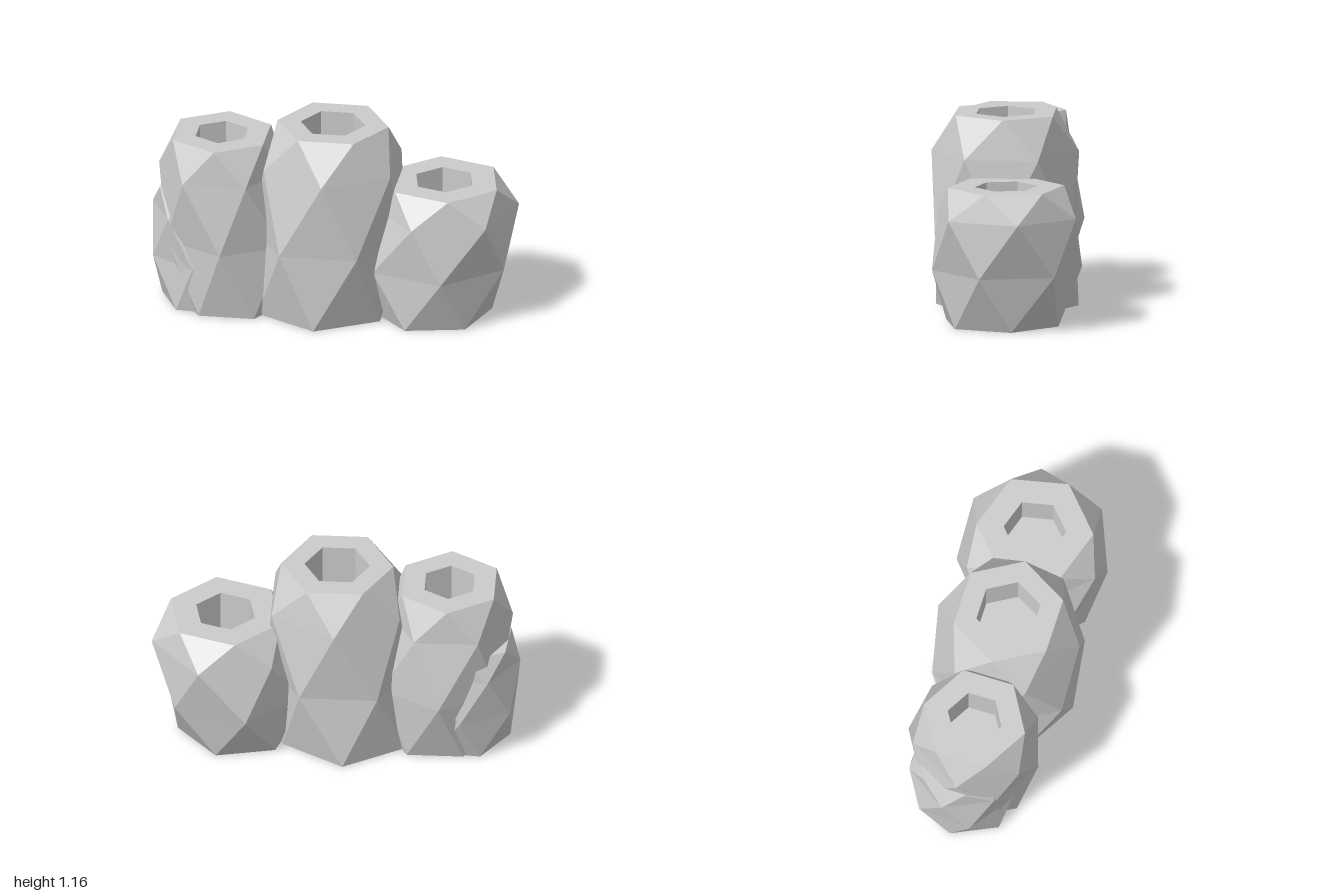
import * as THREE from 'three';

const SIDES = 6;

// Faceted hollow column: each ring is [y, radius, centreX, centreZ, twisted],
// a twisted ring is turned half a step so its neighbours join in triangles.
function columnGeometry(rings, degrees) {
  const step = (Math.PI * 2) / SIDES;
  const start = THREE.MathUtils.degToRad(degrees);
  const point = ([y, r, cx, cz, twisted], i) => {
    const a = start + (i + (twisted ? 0.5 : 0)) * step;
    return [cx + r * Math.cos(a), y, cz + r * Math.sin(a)];
  };
  const positions = [];
  const tri = (a, b, c) => positions.push(...a, ...b, ...c);
  for (let k = 0; k < rings.length - 1; k++) {
    const low = rings[k], high = rings[k + 1];
    for (let i = 0; i < SIDES; i++) {
      const a = point(low, i), b = point(low, i + 1);
      const c = point(high, i), d = point(high, i + 1);
      if (low[1] === 0) tri(a, c, d);
      else if (high[1] === 0) tri(a, c, b);
      else if (low[4] && !high[4]) { tri(a, c, d); tri(a, d, b); }
      else { tri(a, c, b); tri(b, c, d); }
    }
  }
  const geometry = new THREE.BufferGeometry();
  geometry.setAttribute('position', new THREE.Float32BufferAttribute(positions, 3));
  geometry.computeVertexNormals();
  return geometry;
}

// Columns: four outer rings [radius, centreX, centreZ] from the ground to the rim
const COLUMNS = [
  { name: 'middleColumn', height: 1.16, angle: -27, hole: 0.193,
    rings: [[0.42, -0.03, 0.06], [0.46, 0, 0.06], [0.435, 0.02, 0.045], [0.33, 0.02, 0.04]] },
  { name: 'leftColumn', height: 0.825, angle: -9, hole: 0.185,
    rings: [[0.355, 0.535, -0.24], [0.446, 0.54, -0.275], [0.437, 0.585, -0.3], [0.345, 0.585, -0.295]] },
  { name: 'rightColumn', height: 1.06, angle: 3, hole: 0.165,
    rings: [[0.33, -0.505, 0.31], [0.4, -0.54, 0.3], [0.377, -0.565, 0.34], [0.31, -0.57, 0.34]] },
  { name: 'smallColumn', height: 0.71, angle: 8, hole: 0.13,
    rings: [[0.29, -0.64, 0.36], [0.32, -0.683, 0.35], [0.31, -0.69, 0.35], [0.25, -0.715, 0.35]] },
];

export function createModel() {
  const group = new THREE.Group();
  group.name = 'columnCluster';
  const stone = new THREE.MeshStandardMaterial({ color: 0xcccccc });
  stone.name = 'paleGrey';
  stone.flatShading = true;

  for (const { name, height, angle, hole, rings } of COLUMNS) {
    const levels = [0, 0.4, 0.8, 1];
    const outer = rings.map(([r, x, z], k) => [levels[k] * height, r, x, z, k % 2 === 0]);
    const [, x0, z0] = rings[0];
    const [, x, z] = rings[3];
    const floor = height - 0.25;
    const profile = [
      [0, 0, x0, z0, true],            // underside centre
      ...outer,                        // faceted wall
      [height, hole, x, z, false],     // flat rim
      [floor, hole, x, z, false],      // hole wall
      [floor, 0, x, z, false],         // hole floor
    ];
    const mesh = new THREE.Mesh(columnGeometry(profile, angle), stone);
    mesh.name = name;
    group.add(mesh);
  }
  return group;
}
